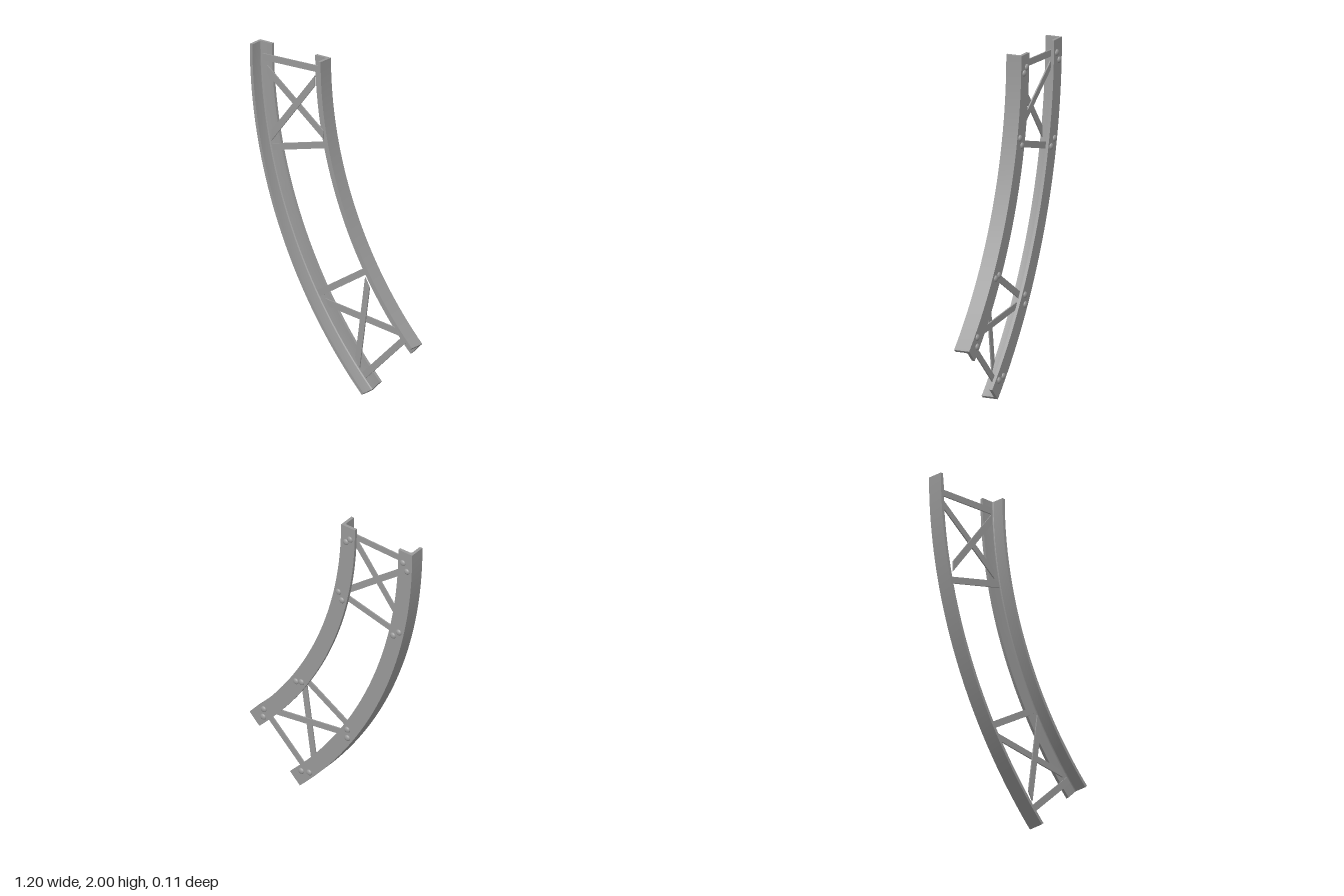
import * as THREE from 'three';
import { toCreasedNormals } from 'three/addons/utils/BufferGeometryUtils.js';

const CX = 2.228, CY = 2;            // centre of the bend
const SWEEP = Math.PI / 4;
const BACK = -0.044, FRONT = 0.055;  // rail depth range
const T = 0.019, FLANGE = 0.102;     // plate thickness, flange width

const mat = new THREE.MeshStandardMaterial({ color: 0x999999 });

function mesh(name, geo) {
  const m = new THREE.Mesh(geo, mat);
  m.name = name;
  return m;
}

// L-shaped section (radius, z): side = 1 puts the web on the outside of the bend
function angleSection(webRadius, side) {
  const f = 0.01;
  const pts = [[-FLANGE, BACK], [0, BACK], [0, FRONT], [-T, FRONT]];
  for (let i = 0; i <= 4; i++) {
    const a = -i * Math.PI / 8;
    pts.push([-T - f + f * Math.cos(a), BACK + T + f + f * Math.sin(a)]);
  }
  pts.push([-FLANGE, BACK + T]);
  const out = pts.map(([r, z]) => new THREE.Vector2(webRadius + side * r, z));
  return side > 0 ? out : out.reverse();
}

// Section swept around the bend, closed at both ends
function curvedRail(name, webRadius, side) {
  const rail = new THREE.Group();
  rail.name = name;
  const section = angleSection(webRadius, side);
  const sweep = new THREE.LatheGeometry([...section, section[0].clone()], 48, -Math.PI / 2, SWEEP);
  sweep.rotateX(Math.PI / 2);
  rail.add(mesh(name + 'Profile', toCreasedNormals(sweep, 0.2)));

  // Upper end faces up; the lower end is drawn mirrored in z so that it faces down the bend
  for (const [angle, flip] of [[0, 1], [SWEEP, -1]]) {
    const outline = section.map((p) => new THREE.Vector2(p.x, p.y * flip));
    const cap = new THREE.ShapeGeometry(new THREE.Shape(outline));
    const c = Math.cos(angle), s = Math.sin(angle);
    cap.applyMatrix4(new THREE.Matrix4().makeBasis(
      new THREE.Vector3(-c, -s, 0),
      new THREE.Vector3(0, 0, flip),
      new THREE.Vector3(-s * flip, c * flip, 0)));
    rail.add(mesh(name + 'End', cap));
  }
  return rail;
}

// Flat bar between two points; upright = ends cut along the rail direction
function flatBar(name, [x1, y1], [x2, y2], z, upright) {
  const w = 0.02, len = Math.hypot(x2 - x1, y2 - y1);
  const ox = upright ? 0 : -(y2 - y1) / len * w;
  const oy = upright ? w * len / (x2 - x1) : (x2 - x1) / len * w;
  const shape = new THREE.Shape([
    [x1 - ox, y1 - oy], [x2 - ox, y2 - oy], [x2 + ox, y2 + oy], [x1 + ox, y1 + oy],
  ].map(([x, y]) => new THREE.Vector2(x - CX, y - CY)));
  const geo = new THREE.ExtrudeGeometry(shape, { depth: 0.008, bevelEnabled: false });
  return mesh(name, geo.translate(0, 0, z));
}

// Two cross bars, an X of diagonals, and rivets on the back
function bracePanel(name) {
  const g = new THREE.Group();
  g.name = name;
  g.add(
    flatBar('crossBar', [-0.551, 1.914], [-0.125, 1.926], -0.012, false),
    flatBar('crossBar', [-0.478, 1.369], [-0.064, 1.473], -0.012, false),
    flatBar('rearDiagonal', [-0.52, 1.843], [-0.103, 1.525], -0.012, true),
    flatBar('frontDiagonal', [-0.466, 1.451], [-0.147, 1.858], 0.014, true));
  const rivets = [
    [-0.532, 1.92], [-0.562, 1.87], [-0.142, 1.92], [-0.112, 1.89],
    [-0.502, 1.41], [-0.459, 1.37], [-0.057, 1.51], [-0.082, 1.46],
  ];
  for (const [x, y] of rivets) {
    const dome = new THREE.SphereGeometry(0.02, 16, 8, 0, Math.PI * 2, 0, Math.PI / 2);
    dome.rotateX(-Math.PI / 2).scale(1, 1, 0.6);
    const r = mesh('rivet', dome);
    r.position.set(x - CX, y - CY, BACK);
    g.add(r);
  }
  return g;
}

export function createModel() {
  const model = new THREE.Group();
  model.name = 'curvedLatticeFrame';
  const bend = new THREE.Group();
  bend.name = 'bend';
  bend.position.set(CX, CY, 0);
  bend.add(curvedRail('outerRail', 2.828, 1), curvedRail('innerRail', 2.304, -1));

  // The lower panel repeats the upper one further round the bend
  const upper = bracePanel('upperBracing');
  const lower = bracePanel('lowerBracing');
  lower.rotation.z = Math.PI / 6;
  bend.add(upper, lower);

  model.add(bend);
  return model;
}
